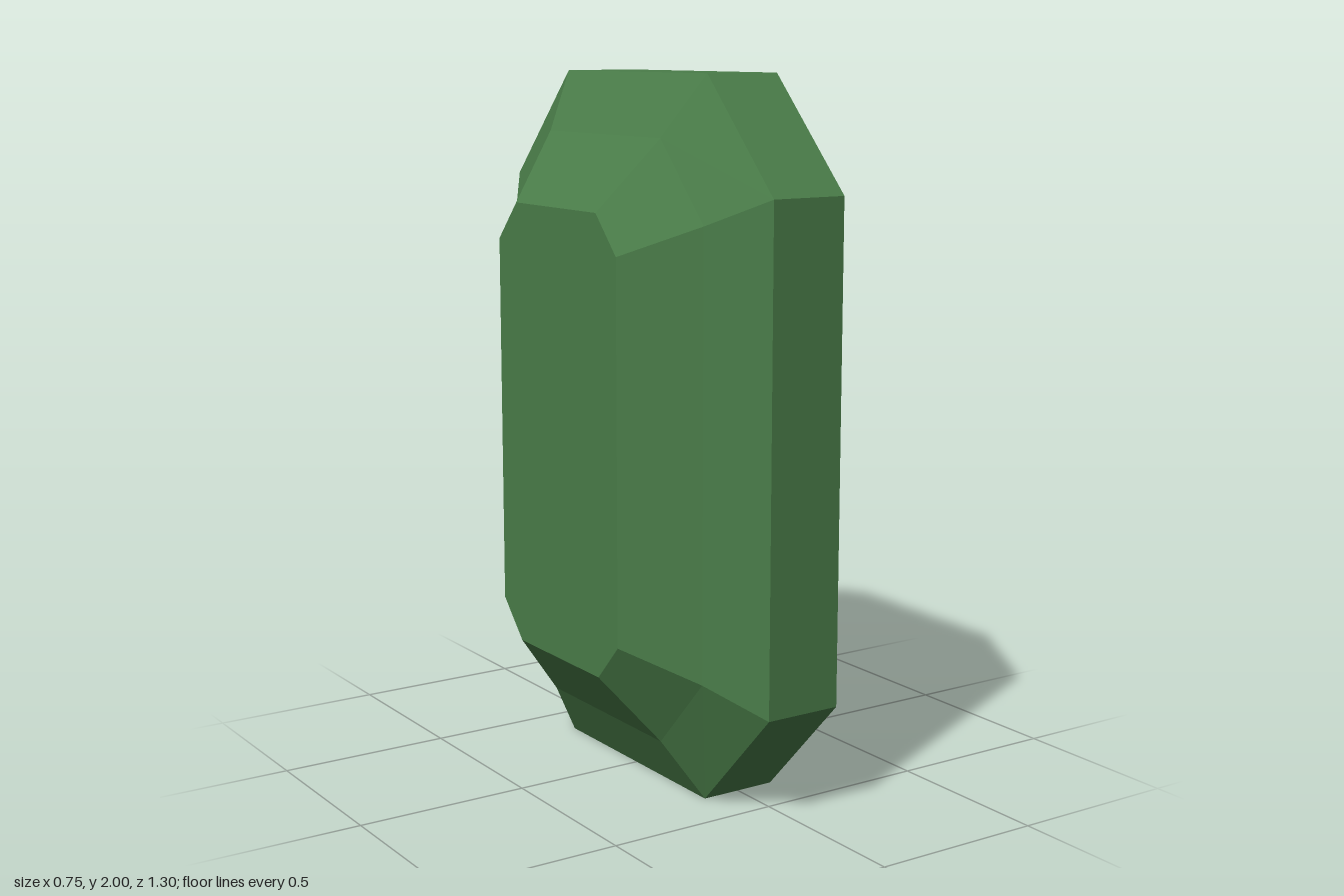
import * as THREE from 'three';

// Octagonal outlines of the cut stone: x, half height, half depth, corner height, corner depth
const GIRDLE = [0.113, 1.0, 0.65, 0.69, 0.353];
const STEP = [0.216, 0.832, 0.487, 0.615, 0.285];
const TABLE = [0.373, 0.638, 0.312, 0.53, 0.212];

function ring([x, h, d, ch, cd], side) {
  return [
    [h, -cd], [h, cd], [ch, d], [-ch, d],
    [-h, cd], [-h, -cd], [-ch, -d], [ch, -d],
  ].map(([y, z]) => [x * side, y + 1, z]);
}

function facetMesh(name, triangles, material) {
  const geometry = new THREE.BufferGeometry();
  geometry.setAttribute('position', new THREE.Float32BufferAttribute(triangles.flat(), 3));
  geometry.computeVertexNormals();
  const mesh = new THREE.Mesh(geometry, material);
  mesh.name = name;
  return mesh;
}

// Band of flat facets between two rings, ordered from -x to +x
function band(name, a, b, material) {
  const tris = [];
  for (let j = 0; j < 8; j++) {
    const k = (j + 1) % 8;
    tris.push(a[j], a[k], b[k], a[j], b[k], b[j]);
  }
  return facetMesh(name, tris, material);
}

// Flat face closing one side
function table(name, r, side, material) {
  const tris = [];
  for (let j = 1; j < 7; j++) {
    tris.push(r[0], ...(side > 0 ? [r[j], r[j + 1]] : [r[j + 1], r[j]]));
  }
  return facetMesh(name, tris, material);
}

export function createModel() {
  const green = new THREE.MeshStandardMaterial({ color: 0x4a7d49, flatShading: true });
  green.name = 'gem green';
  const gem = new THREE.Group();
  gem.name = 'gem';

  // Central belt
  gem.add(band('girdle', ring(GIRDLE, -1), ring(GIRDLE, 1), green));

  // Stepped crown and table on each side
  for (const side of [1, -1]) {
    const label = side > 0 ? 'left' : 'right';
    const [g, s, t] = [GIRDLE, STEP, TABLE].map((p) => ring(p, side));
    const slope = (name, a, b) =>
      gem.add(side > 0 ? band(name, a, b, green) : band(name, b, a, green));
    slope(label + 'LowerCrown', g, s);
    slope(label + 'UpperCrown', s, t);
    gem.add(table(label + 'Table', t, side, green));
  }
  return gem;
}
